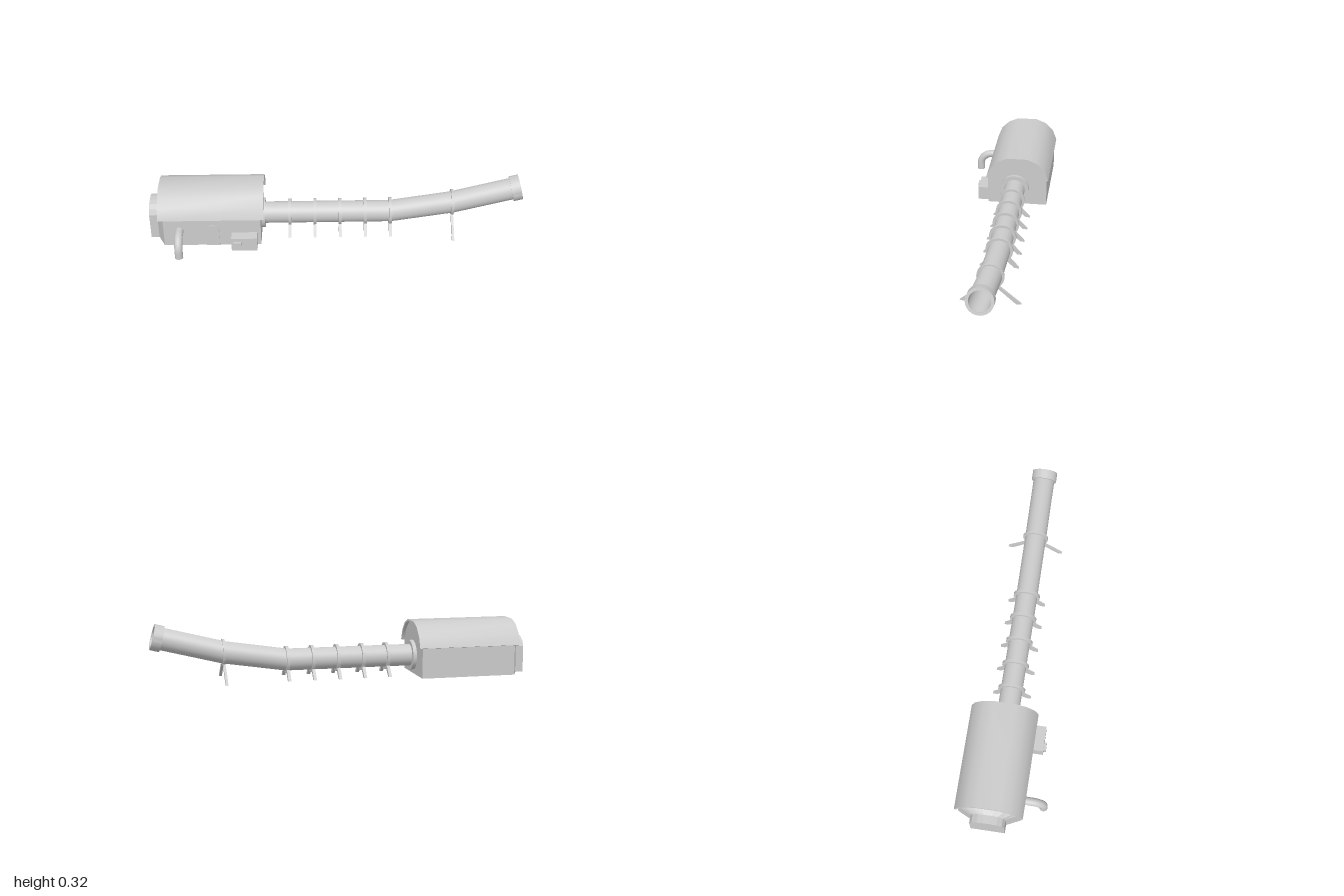
import * as THREE from 'three';
import { toCreasedNormals } from 'three/addons/utils/BufferGeometryUtils.js';

const HOUSE_Z = -0.056, TUBE_Z = -0.043, TUBE_Y = 0.106;

export function createModel() {
  const model = new THREE.Group();
  const mat = new THREE.MeshStandardMaterial({ color: 0xcccccc });
  const thin = new THREE.MeshStandardMaterial({ color: 0xcccccc, side: THREE.DoubleSide });

  const add = (name, geo, parent = model, material = mat) => {
    const mesh = new THREE.Mesh(geo, material);
    mesh.name = name;
    parent.add(mesh);
    return mesh;
  };
  const box = (name, x0, x1, y0, y1, z0, z1) =>
    add(name, new THREE.BoxGeometry(x1 - x0, y1 - y0, z1 - z0)
      .translate((x0 + x1) / 2, (y0 + y1) / 2, (z0 + z1) / 2));
  const poly = (pts) => new THREE.Shape(pts.map(([x, y]) => new THREE.Vector2(x, y)));
  // half outline, from the right foot to the top, mirrored to a full one
  const mirrored = (half) => half.concat(half.slice().reverse().map(([x, y]) => [-x, y]));
  const extrude = (shape, depth, steps = 1) =>
    new THREE.ExtrudeGeometry(shape, { depth, steps, bevelEnabled: false, curveSegments: 24 });
  // cross-section in the z-y plane swept along x
  const alongX = (shape, x0, x1) => extrude(shape, x1 - x0).rotateY(Math.PI / 2).translate(x0, 0, 0);
  const ring = (outer, inner, y = 0) => {
    const s = new THREE.Shape().absarc(0, y, outer, 0, Math.PI * 2);
    s.holes.push(new THREE.Path().absarc(0, y, inner, 0, Math.PI * 2, true));
    return s;
  };

  // House with a faceted barrel gable
  const gable = mirrored([[0.167, 0.006], [0.167, 0.167], [0.146, 0.222], [0.104, 0.263], [0.054, 0.284]]);
  add('house', alongX(poly(gable), -0.92, -0.405).translate(0, 0, HOUSE_Z));

  // Overhanging roof shell
  const outer = mirrored([[0.177, 0.168], [0.154, 0.228], [0.109, 0.272], [0.055, 0.294]]);
  const inner = mirrored([[0.166, 0.165], [0.145, 0.221], [0.103, 0.262], [0.053, 0.283]]);
  const roof = alongX(poly(outer.concat(inner.reverse())), -0.945, -0.388);
  add('roof', toCreasedNormals(roof, 0.6).translate(0, 0, HOUSE_Z));

  // End portal, flaring out to the house walls
  const arch = mirrored([[0.09, 0.006], [0.09, 0.148], [0.077, 0.176], [0.05, 0.194], [0.02, 0.201]]);
  const portal = extrude(poly(arch), 2, 2);
  const pp = portal.attributes.position;
  const stations = [-1, -0.957, -0.92];
  for (let i = 0; i < pp.count; i++) {
    const k = Math.round(pp.getZ(i));
    const x = pp.getX(i), y = pp.getY(i);
    if (k === 2) pp.setXY(i, x * 1.855, 0.006 + (y - 0.006) * 1.11);
    pp.setZ(i, stations[k]);
  }
  portal.computeVertexNormals();
  add('portal', portal.rotateY(Math.PI / 2).translate(0, 0, HOUSE_Z));

  // Arched door and control box on the front wall
  const doorShape = poly([[-0.035, 0.006], [0.035, 0.006], [0.035, 0.097]]);
  doorShape.absarc(0, 0.097, 0.035, 0, Math.PI);
  add('door', extrude(doorShape, 0.008).translate(-0.66, 0, 0.108));
  box('controlBox', -0.56, -0.425, 0.008, 0.084, 0.105, 0.17);
  box('controlPanel', -0.548, -0.505, 0.028, 0.064, 0.165, 0.183);

  // Bent exhaust pipe
  const ex = (y, z) => new THREE.Vector3(-0.835, y, z);
  const path = new THREE.CurvePath();
  path.add(new THREE.LineCurve3(ex(0.1, 0.1), ex(0.1, 0.148)));
  path.add(new THREE.CubicBezierCurve3(ex(0.1, 0.148), ex(0.1, 0.184), ex(0.071, 0.213), ex(0.035, 0.213)));
  path.add(new THREE.LineCurve3(ex(0.035, 0.213), ex(0, 0.213)));
  add('exhaustPipe', new THREE.TubeGeometry(path, 28, 0.0215, 20), model, thin);
  add('exhaustEnd', new THREE.CircleGeometry(0.0215, 20).rotateX(Math.PI / 2).translate(-0.835, 0, 0.213));

  // Long barrel: straight, then two rising sections with mitred joints
  const rows = [[-0.41, TUBE_Y, 0], [0.29, TUBE_Y, 0.08], [0.62, 0.157, 0.2], [0.98, 0.249, 0.25]];
  const barrel = (r) => {
    const g = new THREE.CylinderGeometry(r, r, 1, 40, 3, true).rotateZ(-Math.PI / 2);
    const p = g.attributes.position;
    for (let i = 0; i < p.count; i++) {
      const [x, y, tilt] = rows[Math.round((p.getX(i) + 0.5) * 3)];
      const h = p.getY(i);
      p.setXYZ(i, x - Math.sin(tilt) * h, y + Math.cos(tilt) * h, p.getZ(i) + TUBE_Z);
    }
    return g;
  };
  add('barrel', barrel(0.058), model, thin);
  add('barrelBore', barrel(0.053), model, thin);

  const hoop = (name, geo) => add(name, toCreasedNormals(geo, 0.6));
  hoop('wallFlange', alongX(ring(0.08, 0.055, TUBE_Y), -0.41, -0.385).translate(0, 0, TUBE_Z));
  const muzzle = hoop('muzzleRing', alongX(ring(0.068, 0.053), -0.05, 0));
  muzzle.position.set(0.985, 0.25, TUBE_Z);
  muzzle.rotation.z = 0.25;

  // Collars standing on splayed legs
  const support = (name, x, width, y, r, leg) => {
    const g = new THREE.Group();
    g.name = name;
    add('collar', toCreasedNormals(alongX(ring(r, 0.055, y), -width / 2, width / 2), 0.6), g);
    for (const side of [-1, 1]) {
      const pts = leg.map(([a, b]) => [a * side, b]);
      add('leg', alongX(poly(pts), -width / 2, width / 2), g);
    }
    g.position.set(x, 0, TUBE_Z);
    model.add(g);
  };
  const shortLeg = [[0.08, 0.007], [0.103, 0.007], [0.054, 0.062], [0.038, 0.048]];
  const tallLeg = [[0.128, 0.007], [0.153, 0.009], [0.045, 0.101], [0.036, 0.091]];
  for (let i = 0; i < 5; i++) {
    support('shortSupport', -0.253 + i * 0.1355, 0.016, TUBE_Y, 0.072, shortLeg);
  }
  support('tallSupport', 0.622, 0.013, 0.157, 0.069, tallLeg);

  return model;
}
